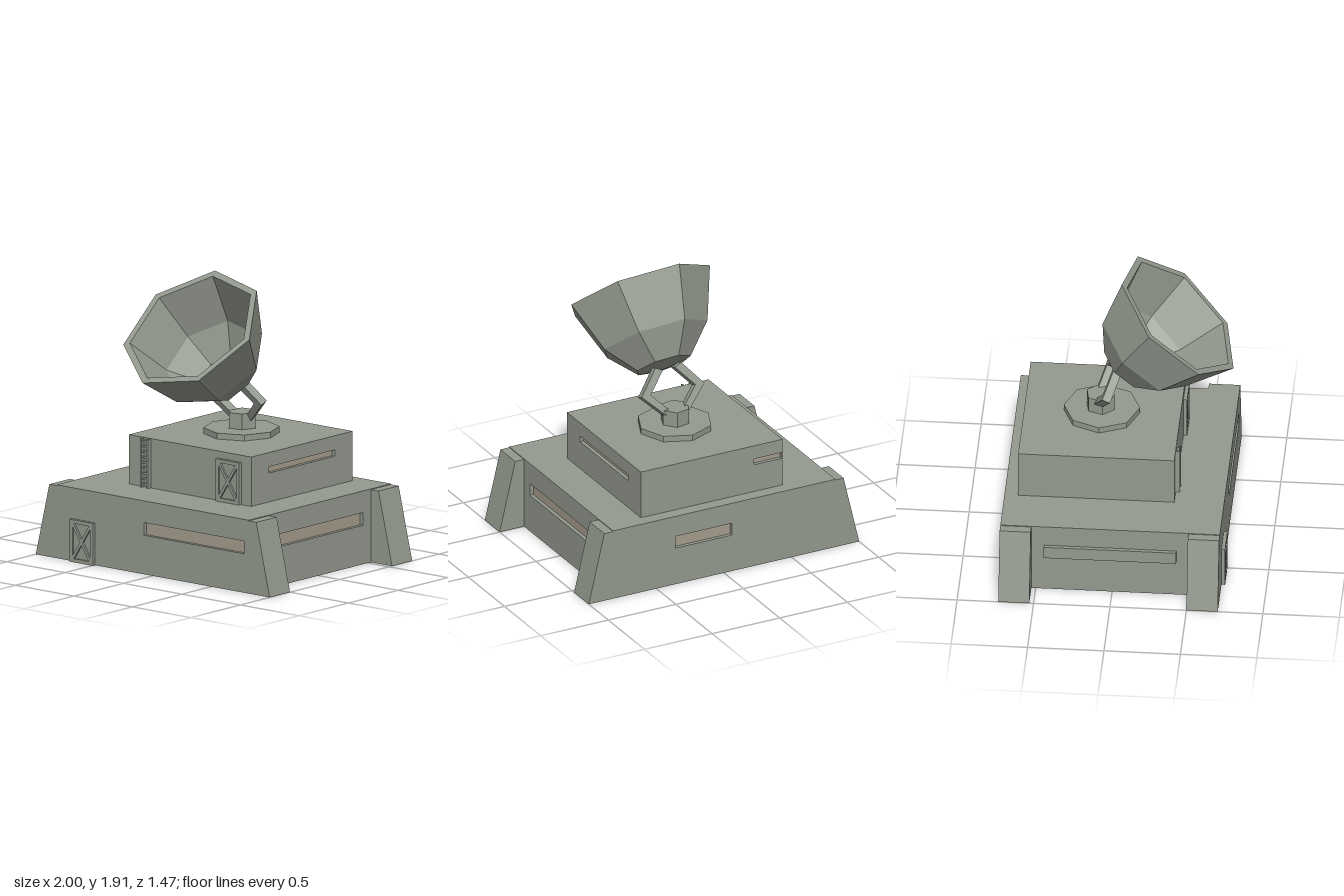
import * as THREE from 'three';

const grey = new THREE.MeshStandardMaterial({ color: 0x949a8f, flatShading: true });
const beige = new THREE.MeshStandardMaterial({ color: 0xa69d8d, flatShading: true });
const DEG = Math.PI / 180;

function add(parent, name, geometry, material = grey) {
  const mesh = new THREE.Mesh(geometry, material);
  mesh.name = name;
  parent.add(mesh);
  return mesh;
}

// Box given by its minimum and maximum corners
function box(parent, name, [x0, y0, z0], [x1, y1, z1], material) {
  const mesh = add(parent, name, new THREE.BoxGeometry(x1 - x0, y1 - y0, z1 - z0), material);
  mesh.position.set((x0 + x1) / 2, (y0 + y1) / 2, (z0 + z1) / 2);
  return mesh;
}

const polygon = (pts, Type = THREE.Shape) => new Type(pts.map(p => new THREE.Vector2(...p)));
const rect = (a, b, c, d) => [[a, c], [b, c], [b, d], [a, d]];
const extrude = (shape, depth) => new THREE.ExtrudeGeometry(shape, { depth, bevelEnabled: false });

// Building block: a core wrapped in wall panels with recessed window slits.
// slits: { front, right, back } as [u0, u1, y0, y1], u running to the viewer's right
function block(parent, name, [x0, y0, z0], [x1, y1, z1], slits) {
  const d = 0.03;
  const group = new THREE.Group();
  group.name = name;
  parent.add(group);
  box(group, 'core', [x0 + d, y0, z0 + d], [x1 - d, y1, z1 - d]);
  const walls = [
    ['front', 0, x0, x1, [0, z1 - d]],
    ['right', Math.PI / 2, -z1 + d, -z0 - d, [x1 - d, 0]],
    ['back', Math.PI, -x1, -x0, [0, z0 + d]],
    ['left', -Math.PI / 2, z0 + d, z1 - d, [x0 + d, 0]],
  ];
  for (const [side, turn, u0, u1, [px, pz]] of walls) {
    const wall = new THREE.Group();
    wall.name = side + 'Wall';
    wall.rotation.y = turn;
    wall.position.set(px, 0, pz);
    group.add(wall);
    const shape = polygon(rect(u0, u1, y0, y1));
    const slit = slits[side];
    if (slit) {
      shape.holes.push(polygon(rect(...slit), THREE.Path));
      const [a, b, c, e] = slit;
      box(wall, 'windowPane', [a, c, -0.01], [b, e, 0.004], beige);
    }
    add(wall, 'panel', extrude(shape, d));
  }
}

// Cross-braced door standing on a front wall
function door(parent, name, x, y, z) {
  const w = 0.2, h = 0.283, m = 0.024, g = 0.012;
  const group = new THREE.Group();
  group.name = name;
  group.position.set(x, y, z);
  parent.add(group);
  box(group, 'doorLeaf', [-w / 2, 0, 0], [w / 2, h, 0.012]);
  const frame = polygon(rect(-w / 2, w / 2, 0, h));
  const X = w / 2 - m, Y = h / 2 - m, cy = h / 2, k = Y / X;
  for (const s of [1, -1]) {
    frame.holes.push(polygon([[s * X, cy - Y + g * k], [s * X, cy + Y - g * k], [s * g, cy]], THREE.Path));
    frame.holes.push(polygon([[-X + g, cy + s * Y], [X - g, cy + s * Y], [0, cy + s * g * k]], THREE.Path));
  }
  add(group, 'crossBracing', extrude(frame, 0.012)).position.z = 0.012;
}

export function createModel() {
  const model = new THREE.Group();
  model.name = 'radarStation';

  // Two-storey bunker
  block(model, 'lowerStorey', [-0.825, 0, -0.731], [0.82, 0.49, 0.705], {
    front: [-0.075, 0.78, 0.26, 0.345],
    right: [-0.42, 0.45, 0.26, 0.345],
    back: [-0.36, 0.06, 0.26, 0.345],
  });
  block(model, 'upperStorey', [-0.48, 0.49, -0.642], [0.567, 0.82, 0.38], {
    front: null,
    right: [-0.2, 0.465, 0.683, 0.725],
    back: [0.27, 0.476, 0.683, 0.725],
  });
  box(model, 'sideWindowPanel', [-0.85, 0.26, -0.445], [-0.82, 0.345, 0.42]);

  // Sloped corner buttresses
  for (const s of [1, -1]) {
    for (const [z, depth] of [[0.5, 0.205], [-0.731, 0.203]]) {
      const profile = [[0.81, 0], [1, 0], [0.885, 0.485], [0.81, 0.485]].map(([x, y]) => [s * x, y]);
      add(model, 'buttress', extrude(polygon(profile), depth)).position.z = z;
    }
  }

  // Doors and ladder
  door(model, 'lowerDoor', -0.592, 0, 0.705);
  door(model, 'upperDoor', 0.383, 0.49, 0.38);
  const ladder = new THREE.Group();
  ladder.name = 'ladder';
  model.add(ladder);
  for (const x of [-0.363, -0.306]) box(ladder, 'rail', [x, 0.49, 0.38], [x + 0.014, 0.815, 0.408]);
  for (let i = 0; i < 9; i++) {
    const y = 0.507 + i * 0.036;
    box(ladder, 'rung', [-0.355, y, 0.385], [-0.3, y + 0.012, 0.402]);
  }

  // Turntable and post
  const mount = new THREE.Group();
  mount.name = 'mount';
  mount.position.set(0.046, 0, -0.135);
  model.add(mount);
  add(mount, 'turntable', new THREE.CylinderGeometry(0.249, 0.249, 0.04, 8)).position.y = 0.84;
  const post = add(mount, 'post', new THREE.CylinderGeometry(0.099, 0.099, 0.11, 6, 1, false, 40 * DEG));
  post.position.set(0, 0.91, -0.007);

  // Bent fork arms, leaning forward
  const fork = new THREE.Group();
  fork.name = 'fork';
  fork.position.set(0.046, 0.925, -0.15);
  fork.rotation.x = 24 * DEG;
  model.add(fork);
  for (const s of [1, -1]) {
    const arm = [[0.03, 0], [0.078, -0.01], [0.232, 0.148], [0.095, 0.315], [0.045, 0.29], [0.166, 0.15]];
    add(fork, 'forkArm', extrude(polygon(arm.map(([x, y]) => [s * x, y])), 0.056)).position.z = -0.028;
  }

  // Seven-sided dish: outer shell, flat rim, inner shell
  const profile = [[0, -0.56], [0.19, -0.53], [0.367, -0.341], [0.494, 0],
    [0.447, 0], [0.33, -0.315], [0.165, -0.485], [0, -0.51]].map(p => new THREE.Vector2(...p));
  const dish = add(model, 'dish', new THREE.LatheGeometry(profile, 7, Math.PI / 2));
  dish.position.set(0.047, 1.598, 0.369);
  dish.rotation.x = 40.6 * DEG;

  return model;
}
